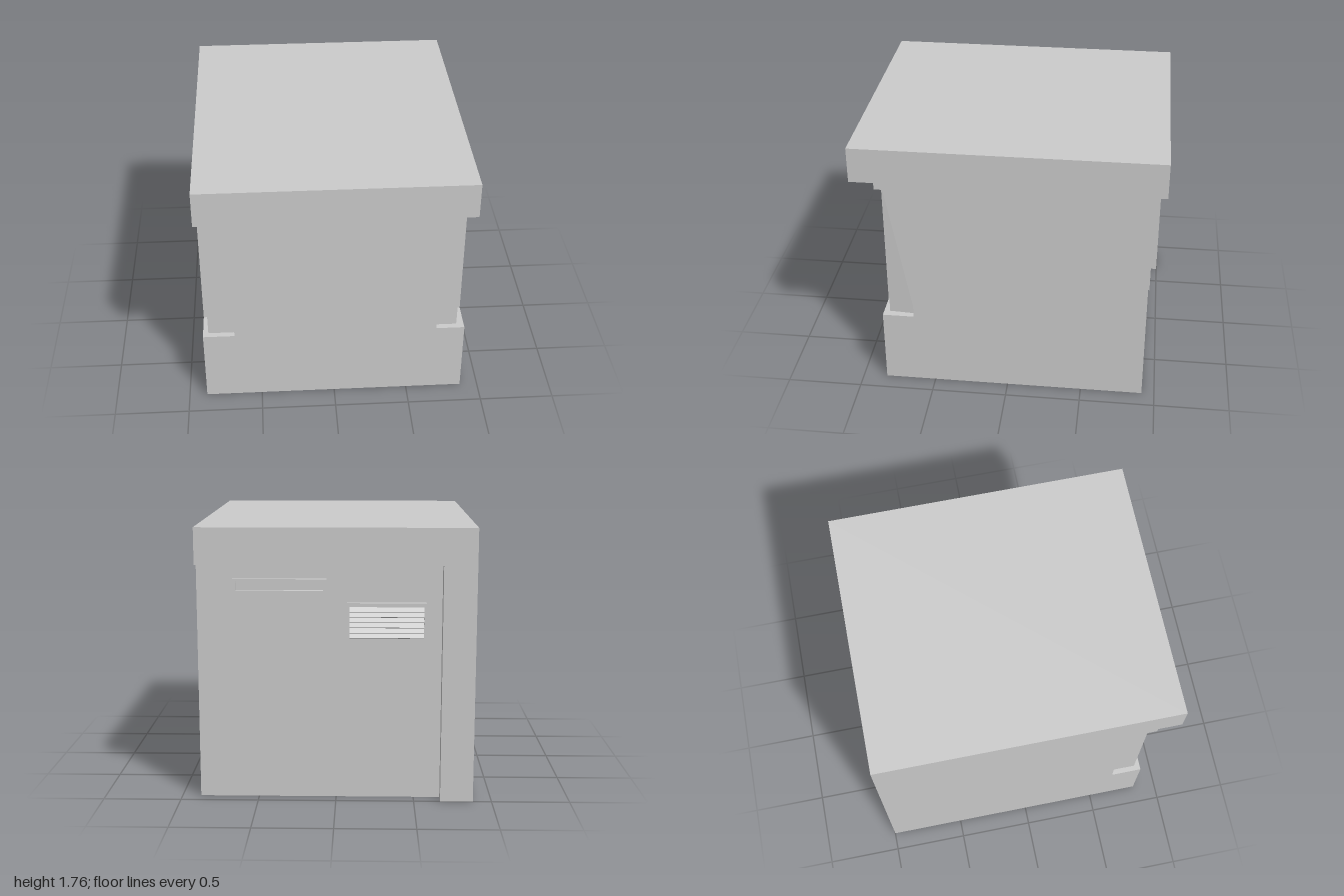
import * as THREE from 'three';

const material = new THREE.MeshStandardMaterial({ color: 0xcccccc, flatShading: true });
const X = 0.88, FRONT = 0.84, BACK = -0.915, REAR = -1;

function add(parent, name, geometry, x = 0, y = 0, z = 0) {
  const mesh = new THREE.Mesh(geometry, material);
  mesh.name = name;
  mesh.position.set(x, y, z);
  parent.add(mesh);
  return mesh;
}

// Extrudes a floor plan of [x, z] corners from y0 up to y1
function planGeometry(corners, y0, y1) {
  const shape = new THREE.Shape(corners.map(([x, z]) => new THREE.Vector2(x, -z)));
  const geometry = new THREE.ExtrudeGeometry(shape, { depth: y1 - y0, bevelEnabled: false });
  return geometry.rotateX(-Math.PI / 2).translate(0, y0, 0);
}

function rectangle(Type, x0, x1, y0, y1) {
  const r = new Type();
  r.moveTo(x0, y0);
  r.lineTo(x1, y0);
  r.lineTo(x1, y1);
  r.lineTo(x0, y1);
  r.closePath();
  return r;
}

// Rectangular panel on the rear wall with a rectangular opening
function framedPanel(outer, inner, depth) {
  const shape = rectangle(THREE.Shape, ...outer);
  shape.holes.push(rectangle(THREE.Path, ...inner));
  return new THREE.ExtrudeGeometry(shape, { depth, bevelEnabled: false });
}

export function createModel() {
  const model = new THREE.Group();
  model.name = 'kiosk';

  // Walls: the rear of the plan steps out into a full-height pier on the -x side
  const rear = [[X, BACK], [-0.67, BACK], [-0.67, REAR], [-X, REAR]];
  const solid = [[-X, FRONT], [X, FRONT], ...rear];
  const recessed = [
    [-X, 0.63], [-0.845, 0.63], [-0.845, 0.8], [-0.67, 0.8], [-0.67, FRONT],
    [0.69, FRONT], [0.69, 0.8], [0.84, 0.8], [0.84, 0.63], [X, 0.63], ...rear,
  ];
  add(model, 'lowerWall', planGeometry(solid, 0, 0.515));
  add(model, 'upperWall', planGeometry(solid, 1.48, 1.525));

  // Middle wall with recessed corner windows; one corner leans in slightly at its foot
  const middle = planGeometry(recessed, 0.515, 1.48);
  const p = middle.attributes.position;
  for (let i = 0; i < p.count; i++) {
    const atCorner = Math.abs(p.getX(i) - 0.84) < 0.002 && Math.abs(p.getZ(i) - 0.8) < 0.002;
    if (atCorner && p.getY(i) < 0.6) p.setX(i, 0.83);
  }
  middle.computeVertexNormals();
  add(model, 'windowWall', middle);

  // Flat roof slab overhanging front and rear
  add(model, 'roof', new THREE.BoxGeometry(2 * X, 0.235, 2), 0, 1.6425, 0);

  // Rear door with a louvred vent near its top
  const door = new THREE.Group();
  door.name = 'door';
  model.add(door);
  add(door, 'doorPanel',
    framedPanel([-0.57, -0.07, 0.2, 1.28], [-0.555, -0.085, 1.055, 1.255], 0.03), 0, 0, BACK - 0.03);
  for (let i = 0; i < 6; i++) {
    const slat = add(door, 'ventSlat', new THREE.BoxGeometry(0.47, 0.006, 0.045), -0.32, 1.072 + i * 0.0335, BACK - 0.017);
    slat.rotation.x = -0.75;
  }

  // Shallow frame high on the rear wall
  add(model, 'rearFrame',
    framedPanel([0.06, 0.65, 1.34, 1.43], [0.08, 0.63, 1.357, 1.413], 0.027), 0, 0, BACK - 0.027);

  return model;
}
